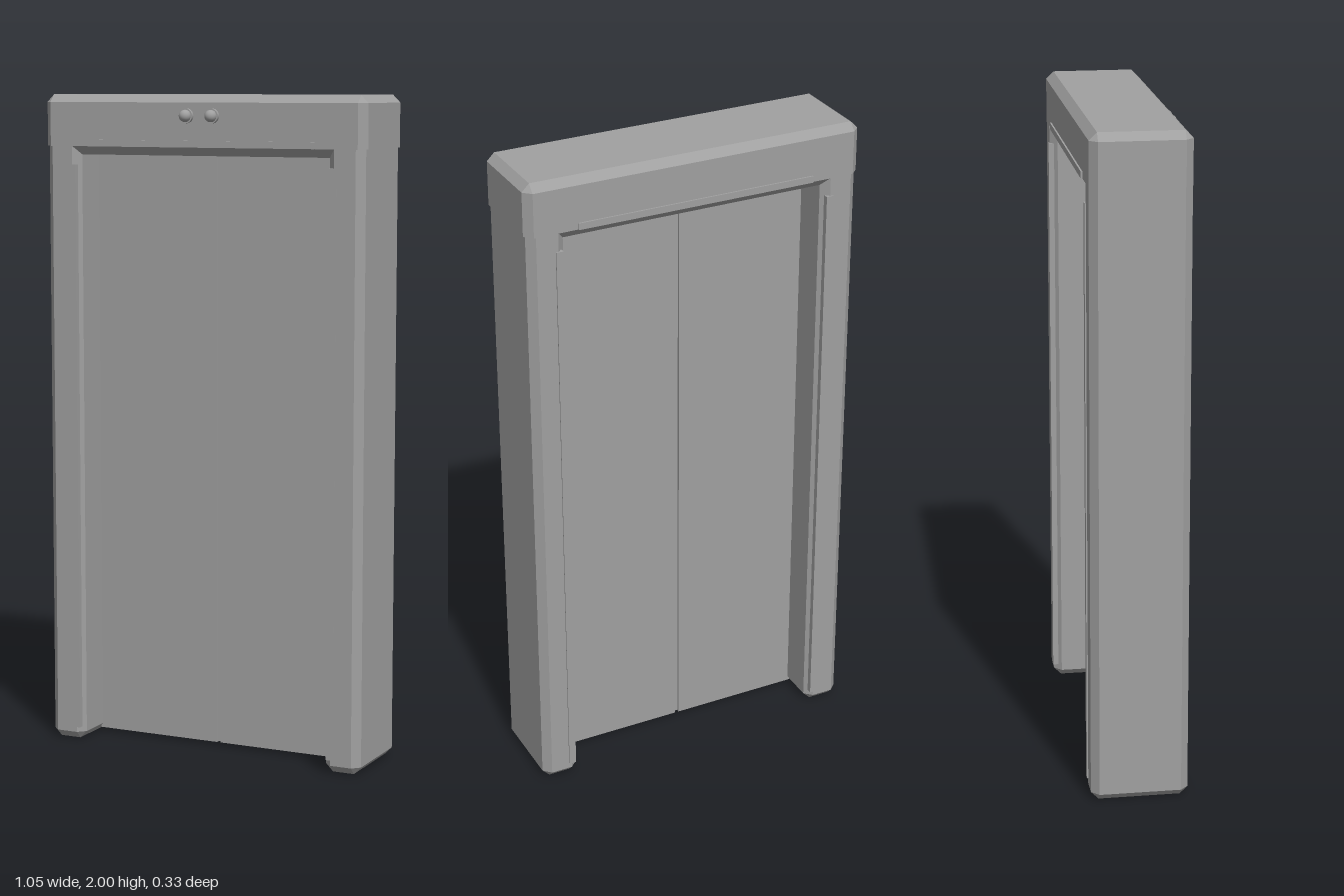
import * as THREE from 'three';
import { ConvexGeometry } from 'three/addons/geometries/ConvexGeometry.js';

const FRONT = 0.13, BACK = -0.16, BEVEL = 0.023;

export function createModel() {
  const model = new THREE.Group();
  model.name = 'elevatorDoor';
  const grey = new THREE.MeshStandardMaterial({ color: 0xa0a0a0 });
  grey.name = 'grey';

  const add = (name, geometry, parent = model) => {
    const mesh = new THREE.Mesh(geometry, grey);
    mesh.name = name;
    parent.add(mesh);
    return mesh;
  };

  const box = (name, x0, x1, y0, y1, z0, z1) => {
    const mesh = add(name, new THREE.BoxGeometry(x1 - x0, y1 - y0, z1 - z0));
    mesh.position.set((x0 + x1) / 2, (y0 + y1) / 2, (z0 + z1) / 2);
    return mesh;
  };

  // Block with bevelled upright edges and a bevel at its top or bottom end
  const bevelledBlock = (x0, x1, y0, y1, bevelTop) => {
    const b = BEVEL, points = [];
    const ring = (y, ix, iz) => {
      for (const x of [x0 + ix, x1 - ix])
        for (const z of [BACK + iz, FRONT - iz]) points.push(new THREE.Vector3(x, y, z));
    };
    const octagon = (y) => { ring(y, b, 0); ring(y, 0, b); };
    octagon(bevelTop ? y0 : y0 + b);
    octagon(bevelTop ? y1 - b : y1);
    ring(bevelTop ? y1 : y0, b, b);
    return new ConvexGeometry(points);
  };

  // Header over the whole width
  add('header', bevelledBlock(-0.527, 0.527, 1.845, 2, true));

  // Lintel with sloped lower edges between the posts
  const lintelPoints = [];
  for (const x of [-0.43, 0.43])
    for (const [y, z] of [[1.846, FRONT], [1.82, FRONT - BEVEL], [1.82, BACK + BEVEL], [1.846, BACK]])
      lintelPoints.push(new THREE.Vector3(x, y, z));
  add('lintel', new ConvexGeometry(lintelPoints));

  for (const [side, s] of [['left', 1], ['right', -1]]) {
    const span = (a, b) => (s > 0 ? [a, b] : [-b, -a]);

    // Post and its sliding door panel
    add(side + 'Post', bevelledBlock(...span(0.408, 0.521), 0, 1.846, false));
    box(side + 'Door', ...span(0.006, 0.415), 0.01, 1.83, -0.03, 0);

    // Thin upright trim on both faces
    box(side + 'FrontTrim', ...span(0.418, 0.44), 0.04, 1.79, FRONT - 0.022, FRONT + 0.004);
    box(side + 'BackTrim', ...span(0.418, 0.44), 0.04, 1.79, BACK - 0.004, BACK + 0.022);

    // Signal lamp: round base and dome
    const lamp = new THREE.Group();
    lamp.name = side + 'Lamp';
    lamp.position.set(s * 0.042, 1.938, FRONT);
    lamp.rotation.x = Math.PI / 2;
    model.add(lamp);
    add('lampBase', new THREE.CylinderGeometry(0.022, 0.022, 0.01, 24), lamp).position.y = 0.005;
    const dome = add('lampDome', new THREE.SphereGeometry(0.018, 24, 8, 0, Math.PI * 2, 0, Math.PI / 2), lamp);
    dome.position.y = 0.013;
    add('lampNeck', new THREE.CylinderGeometry(0.018, 0.018, 0.004, 24), lamp).position.y = 0.011;
  }

  // Recessed seal between the panels
  box('doorSeal', -0.007, 0.007, 0.012, 1.828, -0.022, -0.008);

  // Thin trim above the opening on both faces
  box('frontTopTrim', -0.37, 0.37, 1.845, 1.865, FRONT - 0.01, FRONT + 0.005);
  box('backTopTrim', -0.37, 0.37, 1.845, 1.865, BACK - 0.005, BACK + 0.01);

  return model;
}
